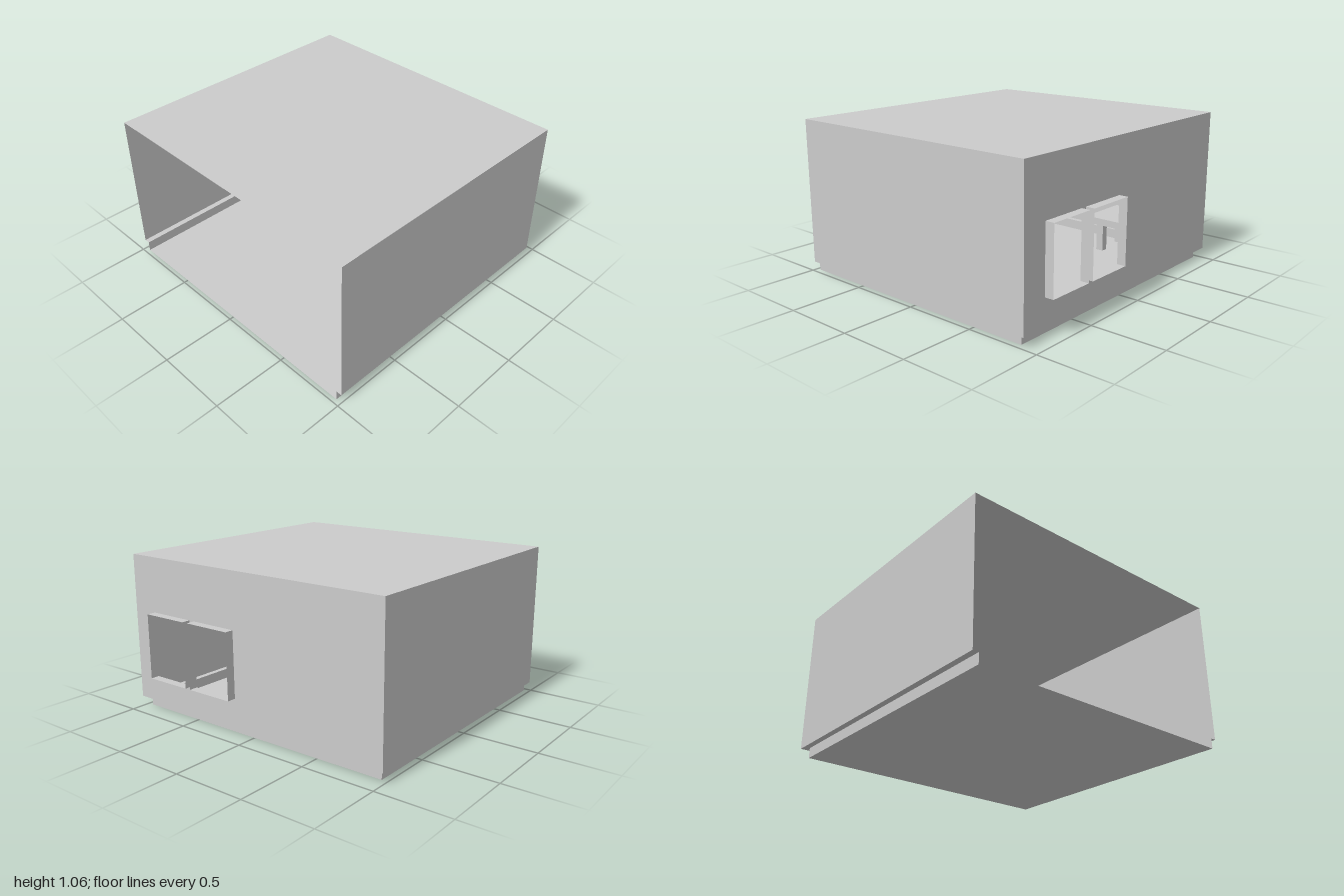
import * as THREE from 'three';

const solid = new THREE.MeshStandardMaterial({ color: 0xcccccc, flatShading: true });
const sheet = new THREE.MeshStandardMaterial({ color: 0xcccccc, flatShading: true, side: THREE.DoubleSide });

// Box given by its minimum and maximum corners
function box(parent, name, [x0, y0, z0], [x1, y1, z1]) {
  const mesh = new THREE.Mesh(new THREE.BoxGeometry(x1 - x0, y1 - y0, z1 - z0), solid);
  mesh.position.set((x0 + x1) / 2, (y0 + y1) / 2, (z0 + z1) / 2);
  mesh.name = name;
  parent.add(mesh);
  return mesh;
}

// Thin rectangle: one of the three extents is zero
function panel(parent, name, [x0, y0, z0], [x1, y1, z1]) {
  const w = x1 - x0, h = y1 - y0, d = z1 - z0;
  const geo = new THREE.PlaneGeometry(w || d, h || d);
  if (!w) geo.rotateY(Math.PI / 2);
  if (!h) geo.rotateX(-Math.PI / 2);
  const mesh = new THREE.Mesh(geo, sheet);
  mesh.position.set((x0 + x1) / 2, (y0 + y1) / 2, (z0 + z1) / 2);
  mesh.name = name;
  parent.add(mesh);
}

// Square leg running between two points
function slantedLeg(parent, name, top, bottom, size) {
  const geo = new THREE.BoxGeometry(size, top.y - bottom.y, size);
  const p = geo.attributes.position;
  for (let i = 0; i < p.count; i++) {
    const end = p.getY(i) > 0 ? top : bottom;
    p.setXYZ(i, p.getX(i) + end.x, end.y, p.getZ(i) + end.z);
  }
  const mesh = new THREE.Mesh(geo, solid);
  mesh.name = name;
  parent.add(mesh);
}

function group(parent, name) {
  const g = new THREE.Group();
  g.name = name;
  parent.add(g);
  return g;
}

export function createModel() {
  const model = new THREE.Group();
  model.name = 'room';
  const front = 0.97, back = -0.91, top = 1.06, ledge = 0.07;
  const inX = 0.96, inBack = -0.86;
  const windows = [[0.11, 0.45], [0.49, 0.82]], sill = 0.25, head = 0.69;

  // Room shell, open at the front
  const shell = group(model, 'shell');
  panel(shell, 'floor', [-inX, 0, inBack], [inX, 0, front]);
  panel(shell, 'roof', [-1, top, back], [1, top, front]);
  panel(shell, 'backSkirting', [-inX, 0, inBack], [inX, ledge, inBack]);
  panel(shell, 'backLedge', [-1, ledge, back], [1, ledge, inBack]);
  for (const s of [-1, 1]) {
    const side = s < 0 ? 'right' : 'left';
    panel(shell, side + 'Wall', [s, ledge, back], [s, top, front]);
    panel(shell, side + 'Skirting', [s * inX, 0, inBack], [s * inX, ledge, front]);
    panel(shell, side + 'Ledge', [s < 0 ? -1 : inX, ledge, inBack], [s < 0 ? -inX : 1, ledge, front]);
  }

  // Back wall with two window openings
  const wall = new THREE.Shape();
  wall.moveTo(-1, ledge).lineTo(1, ledge).lineTo(1, top).lineTo(-1, top).closePath();
  for (const [a, b] of windows) {
    const hole = new THREE.Path();
    hole.moveTo(a, sill).lineTo(a, head).lineTo(b, head).lineTo(b, sill).closePath();
    wall.holes.push(hole);
  }
  const backWall = new THREE.Mesh(new THREE.ShapeGeometry(wall), sheet);
  backWall.position.z = back;
  backWall.name = 'backWall';
  shell.add(backWall);

  // Window reveals projecting behind the wall
  for (const [a, b] of windows) {
    const frame = group(model, 'windowFrame');
    panel(frame, 'sill', [a, sill, -0.97], [b, sill, back]);
    panel(frame, 'head', [a, head, -0.97], [b, head, back]);
    panel(frame, 'rightJamb', [a, sill, -0.97], [a, head, back]);
    panel(frame, 'leftJamb', [b, sill, -0.97], [b, head, back]);
  }

  // Desk along the right wall
  const desk = group(model, 'desk');
  box(desk, 'deskTop', [-0.99, 0.21, -0.89], [-0.6, 0.26, -0.17]);
  for (const x of [-0.94, -0.7])
    for (const z of [-0.84, -0.28])
      box(desk, 'deskLeg', [x, 0, z], [x + 0.05, 0.21, z + 0.055]);

  // Stool with splayed legs
  const stool = group(model, 'stool');
  stool.position.set(-0.775, 0, -0.635);
  box(stool, 'seat', [-0.07, 0.133, -0.07], [0.07, 0.155, 0.07]);
  for (const sx of [-1, 1])
    for (const sz of [-1, 1])
      slantedLeg(stool, 'stoolLeg',
        new THREE.Vector3(sx * 0.037, 0.133, sz * 0.037),
        new THREE.Vector3(sx * 0.057, 0, sz * 0.057), 0.028);

  // Monitor standing on the desk
  const monitor = group(model, 'monitor');
  box(monitor, 'monitorBody', [-0.94, 0.26, -0.75], [-0.8, 0.45, -0.52]);
  box(monitor, 'monitorSidePanel', [-0.925, 0.272, -0.52], [-0.805, 0.42, -0.512]);

  return model;
}
